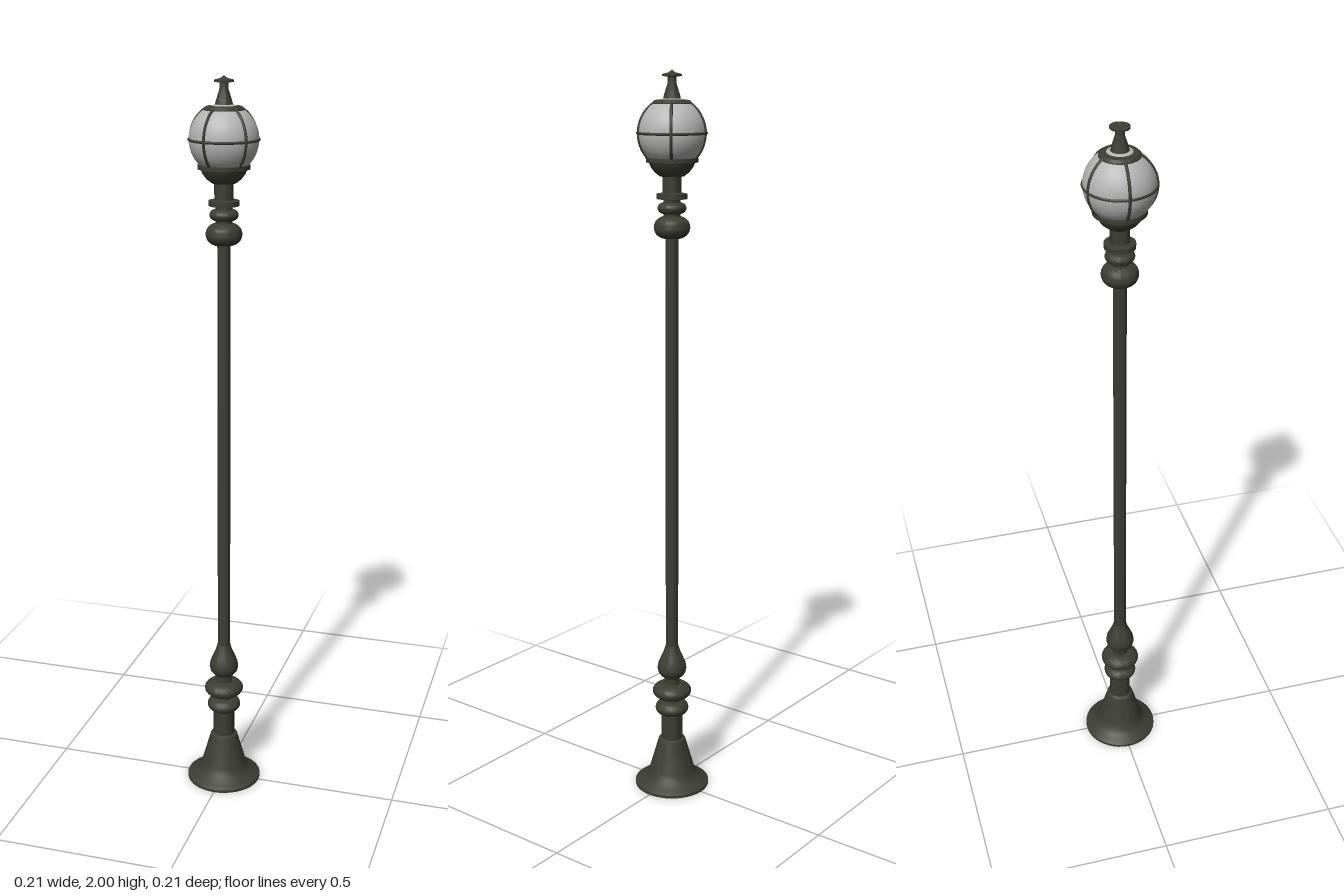
import * as THREE from 'three';
import { toCreasedNormals } from 'three/addons/utils/BufferGeometryUtils.js';

const metal = new THREE.MeshStandardMaterial({ color: 0x3c3d33, side: THREE.DoubleSide });
metal.name = 'dark iron';
const glass = new THREE.MeshStandardMaterial({ color: 0xb4b4b4 });
glass.name = 'frosted glass';

const GLOBE_Y = 1.842;
const GLOBE_R = 0.09;

export function createModel() {
  const group = new THREE.Group();

  const add = (name, geometry, material = metal, parent = group) => {
    const mesh = new THREE.Mesh(geometry, material);
    mesh.name = name;
    parent.add(mesh);
    return mesh;
  };

  // Turned part from [radius, height] pairs, bottom to top
  const turned = (name, profile) => {
    const points = profile.map(([r, y]) => new THREE.Vector2(r, y));
    return add(name, toCreasedNormals(new THREE.LatheGeometry(points, 40), 0.6));
  };

  // Rounded ring bulging from an inner to an outer radius
  const bead = (name, y, halfHeight, inner, outer) => {
    const profile = [];
    for (let i = 0; i <= 12; i++) {
      const a = (i / 12 - 0.5) * Math.PI;
      profile.push([inner + (outer - inner) * Math.cos(a), y + halfHeight * Math.sin(a)]);
    }
    return turned(name, profile);
  };

  // Hollow flared foot and lower column
  turned('base', [
    [0.105, 0], [0.105, 0.008], [0.094, 0.016], [0.078, 0.024], [0.069, 0.034],
    [0.063, 0.05], [0.038, 0.138], [0.03, 0.142],
  ]);
  turned('lowerColumn', [[0.03, 0.135], [0.03, 0.215], [0.022, 0.22], [0.022, 0.33]]);
  bead('lowerRing', 0.235, 0.02, 0.022, 0.047);
  bead('upperRing', 0.287, 0.022, 0.022, 0.055);
  turned('poleBulb', [
    [0.018, 0.325], [0.029, 0.332], [0.038, 0.343], [0.041, 0.356], [0.039, 0.37],
    [0.031, 0.39], [0.023, 0.408], [0.018, 0.425],
  ]);

  // Pole and the mouldings under the lantern
  turned('pole', [[0.0175, 0.32], [0.0175, 1.6]]);
  bead('poleKnob', 1.6, 0.029, 0.018, 0.048);
  turned('neck', [[0.022, 1.6], [0.022, 1.74]]);
  bead('neckRing', 1.65, 0.015, 0.02, 0.038);
  turned('neckCollar', [[0.022, 1.672], [0.04, 1.674], [0.04, 1.687], [0.025, 1.69], [0.025, 1.738]]);

  // Cup, globe and cap
  turned('globeCup', [
    [0, 1.73], [0.032, 1.732], [0.045, 1.742], [0.055, 1.755], [0.06, 1.766],
    [0.068, 1.768], [0.068, 1.779], [0.062, 1.781],
  ]);
  add('globe', new THREE.SphereGeometry(GLOBE_R, 40, 28), glass).position.y = GLOBE_Y;
  turned('cap', [[0, 1.908], [0.052, 1.908], [0.052, 1.918], [0.046, 1.924], [0.024, 1.927]]);
  turned('finial', [
    [0.024, 1.925], [0.02, 1.94], [0.012, 1.965], [0.011, 1.982], [0.025, 1.984],
    [0.025, 1.989], [0.009, 1.993], [0, 2],
  ]);

  // Globe cage: five curved ribs and a band at the middle
  const cage = new THREE.Group();
  cage.name = 'globeCage';
  cage.position.y = GLOBE_Y;
  group.add(cage);
  const ribGeometry = new THREE.TorusGeometry(GLOBE_R, 0.004, 8, 28, THREE.MathUtils.degToRad(110));
  ribGeometry.rotateZ(THREE.MathUtils.degToRad(-50));
  for (let i = 0; i < 5; i++) {
    add('rib', ribGeometry, metal, cage).rotation.y = Math.PI + (i * 2 * Math.PI) / 5;
  }
  const band = new THREE.TorusGeometry(GLOBE_R, 0.0035, 8, 48);
  add('middleBand', band.rotateX(Math.PI / 2), metal, cage);

  return group;
}
